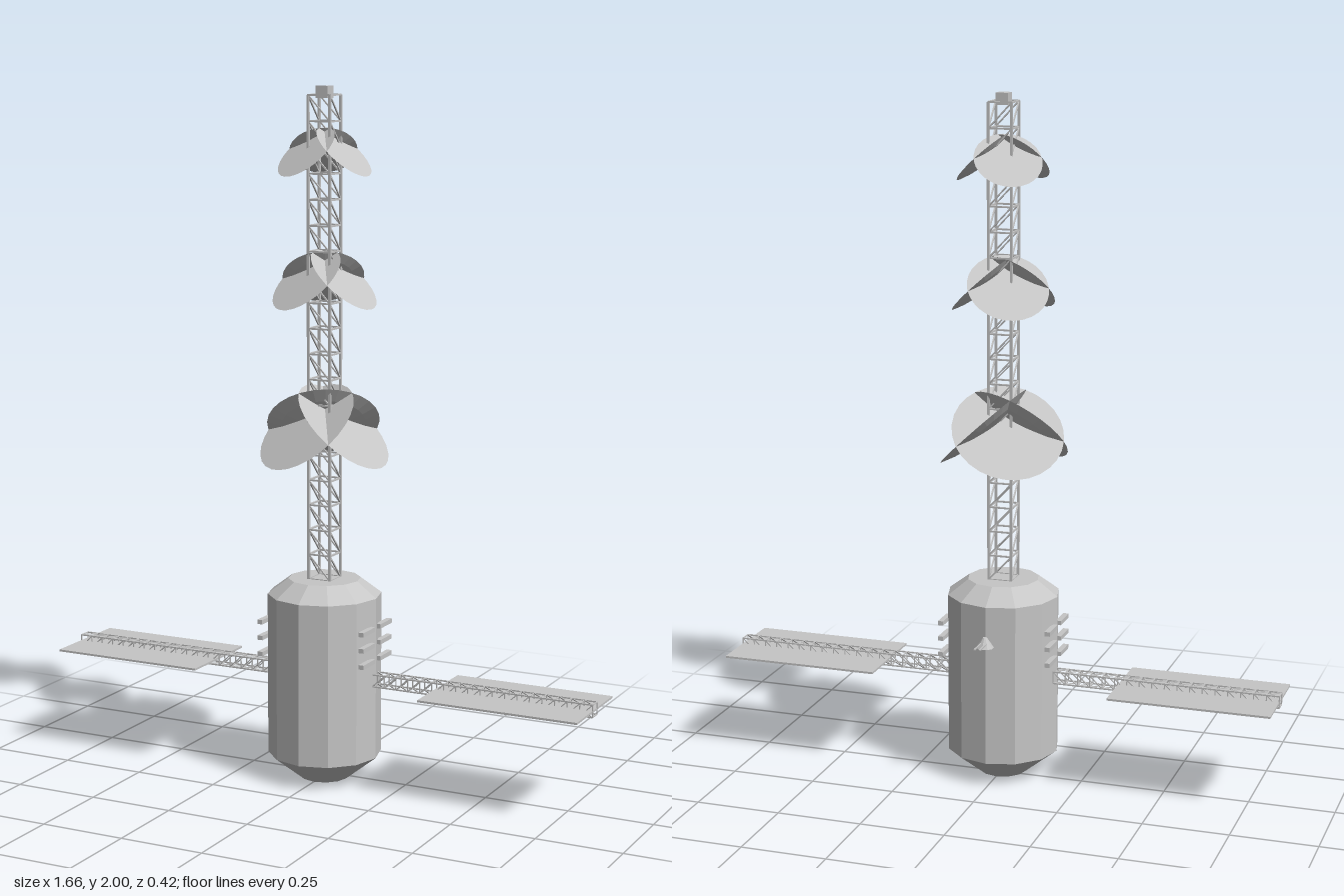
import * as THREE from 'three';
import { mergeGeometries } from 'three/addons/utils/BufferGeometryUtils.js';

const grey = new THREE.MeshStandardMaterial({ color: 0xc6c6c6, flatShading: true });
grey.name = 'lightGrey';

const AXIS_Z = 0.026; // common axis of hull, mast and dishes

function add(parent, name, geometry, x = 0, y = 0, z = 0) {
  const mesh = new THREE.Mesh(geometry, grey);
  mesh.name = name;
  mesh.position.set(x, y, z);
  parent.add(mesh);
  return mesh;
}

// square bar between two points
function bar(a, b, thick) {
  const dir = b.clone().sub(a);
  const geo = new THREE.BoxGeometry(thick, dir.length(), thick);
  const turn = new THREE.Quaternion().setFromUnitVectors(new THREE.Vector3(0, 1, 0), dir.normalize());
  geo.applyQuaternion(turn);
  const mid = a.clone().add(b).multiplyScalar(0.5);
  return geo.translate(mid.x, mid.y, mid.z);
}

// square lattice beam standing on y = 0: four rails, rungs and one diagonal per face and bay
function lattice(length, half, bays, rail, rung, diagonal) {
  const parts = [];
  const p = (x, y, z) => new THREE.Vector3(x * half, y, z * half);
  const step = length / bays;
  for (const x of [-1, 1]) for (const z of [-1, 1]) parts.push(bar(p(x, 0, z), p(x, length, z), rail));
  for (let i = 0; i <= bays; i++) {
    const y = i * step;
    for (const s of [-1, 1]) {
      parts.push(bar(p(-1, y, s), p(1, y, s), rung), bar(p(s, y, -1), p(s, y, 1), rung));
      if (i < bays) {
        parts.push(bar(p(1, y, s), p(-1, y + step, s), diagonal));
        parts.push(bar(p(s, y, -1), p(s, y + step, 1), diagonal));
      }
    }
  }
  return mergeGeometries(parts);
}

// shallow reflector with a flat face towards +y
function dishGeometry(radius) {
  const depth = radius * 0.18;
  const profile = [[0, -1], [0.4, -0.84], [0.75, -0.44], [1, 0], [0, 0]];
  return new THREE.LatheGeometry(profile.map(([r, y]) => new THREE.Vector2(r * radius, y * depth)), 28);
}

export function createModel() {
  const model = new THREE.Group();
  model.name = 'satellite';

  // hull with chamfered ends
  const hull = [[0, 0], [0.07, 0], [0.165, 0.075], [0.165, 0.55], [0.105, 0.595], [0, 0.595]];
  add(model, 'hull', new THREE.LatheGeometry(hull.map(([r, y]) => new THREE.Vector2(r, y)), 12), 0, 0, AXIS_Z);

  // mast and its tip
  add(model, 'mast', lattice(1.38, 0.034, 19, 0.007, 0.005, 0.004), 0, 0.595, AXIS_Z);
  add(model, 'mastTip', new THREE.BoxGeometry(0.037, 0.034, 0.037), 0, 1.983, AXIS_Z);

  // three tiers of three dishes
  for (const [radius, y] of [[0.1625, 1.043], [0.117, 1.461], [0.097, 1.818]]) {
    const tier = new THREE.Group();
    tier.name = 'dishTier';
    tier.position.set(0, y, AXIS_Z);
    for (let i = 0; i < 3; i++) {
      const arm = new THREE.Group();
      arm.name = 'dishMount';
      arm.rotation.y = (i * Math.PI * 2) / 3;
      add(arm, 'dish', dishGeometry(radius), 0.061, 0, 0).rotation.z = -THREE.MathUtils.degToRad(43);
      tier.add(arm);
    }
    model.add(tier);
  }

  for (const side of [-1, 1]) {
    // panel boom and solar panel
    const boom = add(model, 'panelBoom', lattice(0.67, 0.0175, 18, 0.004, 0.003, 0.003), side * 0.16, 0.31, 0.02);
    boom.rotation.z = -side * Math.PI / 2;
    add(model, 'solarPanel', new THREE.BoxGeometry(0.473, 0.006, 0.284), side * 0.5935, 0.308, 0.019);

    // grab rails on the flank
    for (const y of [0.37, 0.418, 0.465]) {
      for (const dz of [-0.056, 0.056]) {
        add(model, 'grabRail', new THREE.BoxGeometry(0.016, 0.013, 0.076), side * 0.163, y, AXIS_Z + dz);
      }
    }
  }

  // small rear sensor with two prongs
  add(model, 'rearSensor', new THREE.CylinderGeometry(0.006, 0.026, 0.03, 10), 0, 0.448, -0.145);
  for (const x of [-0.008, 0.008]) {
    add(model, 'sensorProng', new THREE.BoxGeometry(0.004, 0.004, 0.085), x, 0.447, -0.172);
  }

  return model;
}
